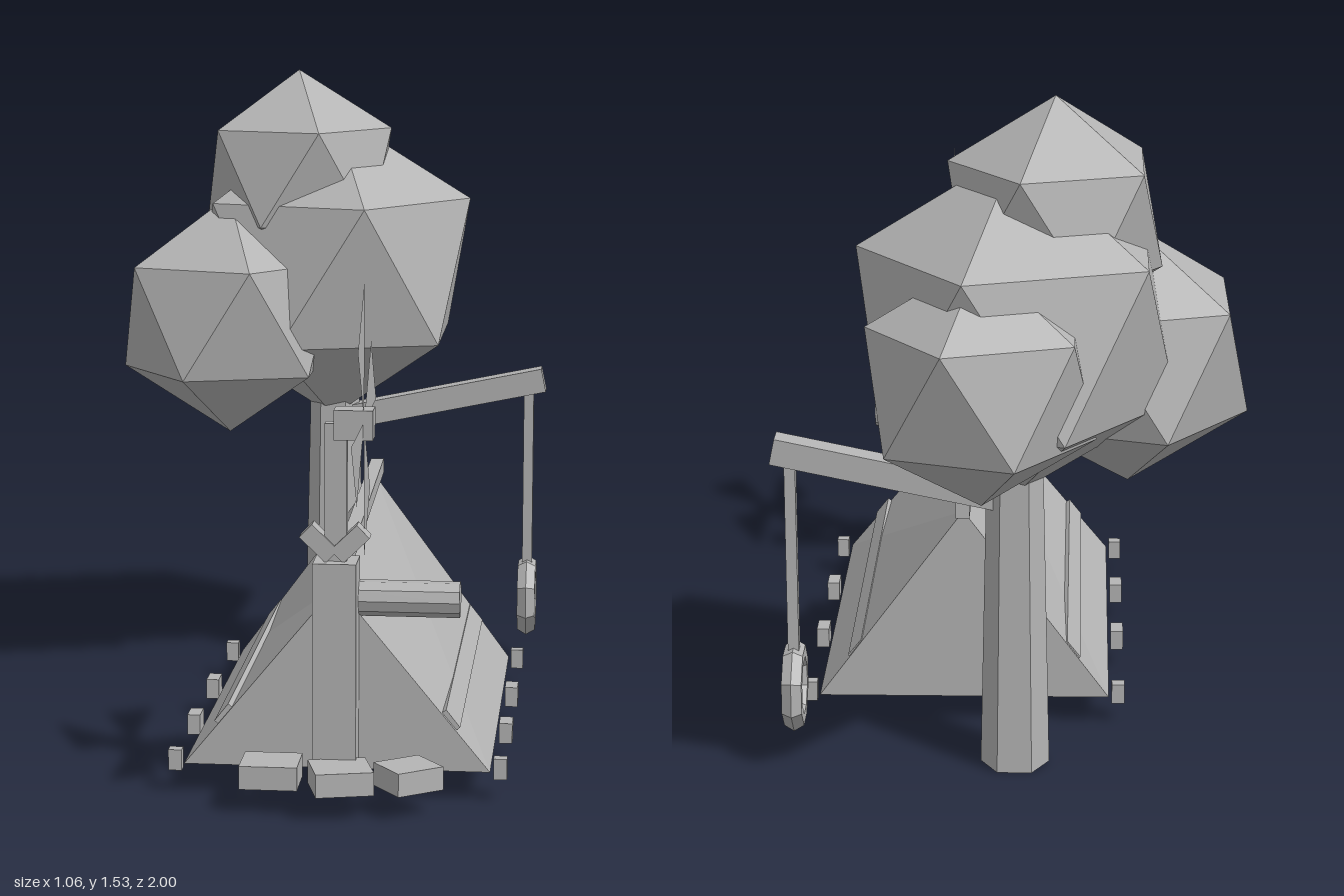
import * as THREE from 'three';

export function createModel() {
  const root = new THREE.Group();
  const grey = new THREE.MeshStandardMaterial({ color: 0xb4b4b4, flatShading: true });
  grey.name = 'plain grey';
  const greySheet = grey.clone();
  greySheet.side = THREE.DoubleSide;

  function add(name, geometry, x = 0, y = 0, z = 0, material = grey) {
    const mesh = new THREE.Mesh(geometry, material);
    mesh.name = name;
    mesh.position.set(x, y, z);
    root.add(mesh);
    return mesh;
  }
  const box = (name, w, h, d, x, y, z) => add(name, new THREE.BoxGeometry(w, h, d), x, y, z);

  // Tree: six-sided trunk and four clumps of leaves, each standing on a vertex
  const trunk = new THREE.CylinderGeometry(0.06, 0.078, 0.85, 6).rotateY(Math.PI / 6);
  add('trunk', trunk, -0.018, 0.425, -0.565);
  const clumps = [
    [0.262, -0.105, 1.273, -0.517],
    [0.391, -0.022, 1.035, -0.56],
    [0.3, -0.27, 0.925, -0.405],
    [0.276, 0.05, 0.962, -0.765],
  ];
  for (const [r, x, y, z] of clumps) {
    const leaves = new THREE.IcosahedronGeometry(r, 0).rotateZ(Math.atan(2 / (1 + Math.sqrt(5))));
    // turn so that one vertex of the upper ring points to +x
    const p = leaves.attributes.position;
    for (let i = 0; i < p.count; i++) {
      if (p.getY(i) > r * 0.3 && p.getY(i) < r * 0.6) {
        leaves.rotateY(Math.atan2(p.getZ(i), p.getX(i)));
        break;
      }
    }
    add('leafClump', leaves, x, y, z);
  }

  // Tyre swing on a branch
  box('branch', 0.54, 0.06, 0.058, 0.255, 0.692, -0.565).rotation.z = 0.205;
  box('swingRope', 0.025, 0.55, 0.03, 0.482, 0.44, -0.562);
  const ring = new THREE.TorusGeometry(0.078, 0.026, 6, 8).rotateZ(Math.PI / 8).rotateY(Math.PI / 2);
  add('swingTyre', ring, 0.482, 0.18, -0.562);

  // Tent: solid prism whose ridge rises towards the back
  const front = 0.668, back = -0.352, left = 0.445, right = -0.233, mid = 0.106, base = 0.067;
  const ridge = (z) => 0.478 + (front - z) * 0.048;
  const outline = new THREE.Shape([
    new THREE.Vector2(right, base), new THREE.Vector2(left, base), new THREE.Vector2(mid, 0.5),
  ]);
  const tent = new THREE.ExtrudeGeometry(outline, { depth: front - back, bevelEnabled: false });
  tent.translate(0, 0, back);
  const tp = tent.attributes.position;
  for (let i = 0; i < tp.count; i++) if (tp.getY(i) > 0.3) tp.setY(i, ridge(tp.getZ(i)));
  tent.computeVertexNormals();
  add('tent', tent);
  box('ridgePole', 0.032, 0.036, 1.05, mid, 0.517, 0.125).rotation.x = 0.052;

  // Hem strips and pegs along both sides of the tent
  const slope = Math.atan2(0.43, 0.339);
  for (const s of [-1, 1]) {
    const hem = box('hemStrip', 0.05, 0.012, front - back - 0.02, mid + s * 0.252, 0.18, (front + back) / 2);
    hem.rotation.z = -s * slope;
    for (const [z, d] of [[-0.328, 0.028], [0.021, 0.06], [0.339, 0.06], [0.644, 0.028]]) {
      box('tentPeg', 0.03, 0.047, d, mid + s * 0.361, 0.071, z);
    }
  }

  // Front post with a log, a forked cap and a thin mast
  box('post', 0.095, 0.515, 0.092, 0.108, 0.285, 0.694);
  const log = new THREE.CylinderGeometry(0.04, 0.04, 0.24, 10).rotateZ(Math.PI / 2);
  add('log', log, 0.256, 0.45, 0.651);
  for (const s of [-1, 1]) {
    box('fork', 0.04, 0.08, 0.045, 0.106 + s * 0.034, 0.582, 0.694).rotation.z = -s * 0.8;
  }
  box('mast', 0.048, 0.31, 0.03, 0.108, 0.69, 0.694);

  // Pinwheel facing sideways
  box('pinwheelHub', 0.085, 0.065, 0.06, 0.147, 0.844, 0.694);
  for (let k = 0; k < 4; k++) {
    const blade = new THREE.ShapeGeometry(new THREE.Shape([
      new THREE.Vector2(0, 0), new THREE.Vector2(0, 0.306), new THREE.Vector2(-0.152, 0.172),
    ]));
    blade.rotateZ((k * Math.PI) / 2).rotateY(Math.PI / 2);
    add('pinwheelBlade', blade, 0.168, 0.847, 0.694, greySheet);
  }

  // Flat stones in front of the post
  for (const [size, x, z, turn] of [[0.127, -0.029, 0.754, 0], [0.127, 0.127, 0.788, 0.25], [0.114, 0.272, 0.76, 0.62]]) {
    box('stone', size, 0.052, size * 0.92, x, 0.081, z).rotation.y = turn;
  }
  return root;
}
